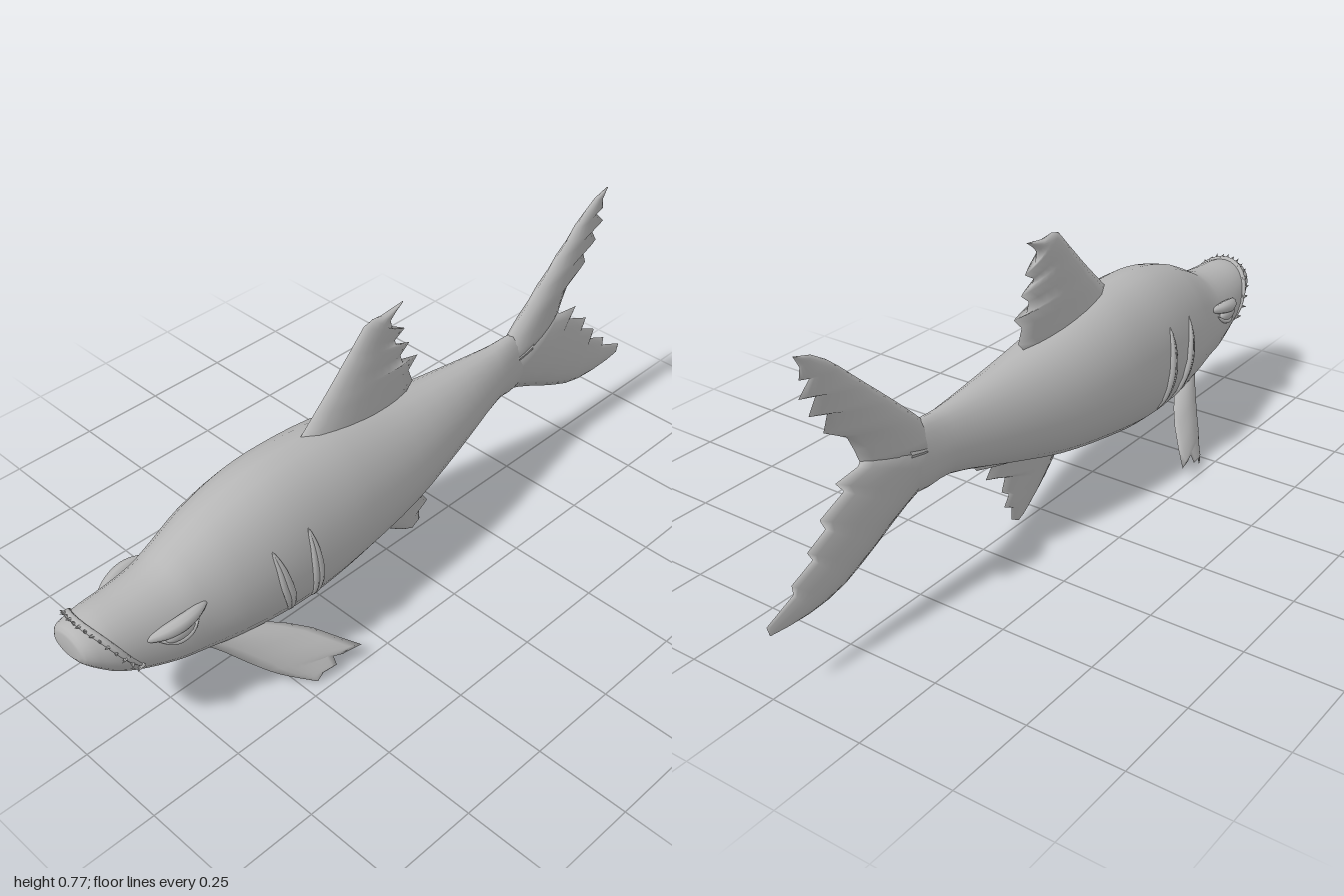
import * as THREE from 'three';

const V = (x, y, z) => new THREE.Vector3(x, y, z);
const skin = new THREE.MeshStandardMaterial({ color: 0xb6b6b6 });
skin.name = 'grey skin';

// Closed smooth surface through equal-length rings of points, faces turned outward
function loft(rings) {
  const n = rings[0].length, pos = [], idx = [];
  const mid = r => r.reduce((s, p) => s.add(p), V(0, 0, 0)).divideScalar(n);
  const cap = r => { const c = mid(r); return r.map(() => c); };
  const all = [cap(rings[0]), ...rings, cap(rings[rings.length - 1])];
  const flat = all.flat();
  flat.forEach(p => pos.push(p.x, p.y, p.z));
  for (let k = 0; k < all.length - 1; k++) {
    for (let j = 0; j < n; j++) {
      const a = k * n + j, b = k * n + (j + 1) % n;
      idx.push(a, b, a + n, b, b + n, a + n);
    }
  }
  let volume = 0;
  for (let i = 0; i < idx.length; i += 3) {
    volume += flat[idx[i]].dot(flat[idx[i + 1]].clone().cross(flat[idx[i + 2]]));
  }
  if (volume < 0) idx.reverse();
  const g = new THREE.BufferGeometry();
  g.setAttribute('position', new THREE.Float32BufferAttribute(pos, 3));
  g.setIndex(idx);
  g.computeVertexNormals();
  return g;
}

// Body stations from tail to snout: z, top, bottom, half width
const stations = [
  [-0.62, 0.43, 0.36, 0.012], [-0.5, 0.468, 0.287, 0.03], [-0.4, 0.466, 0.29, 0.05],
  [-0.2, 0.48, 0.23, 0.095], [0, 0.503, 0.17, 0.133], [0.2, 0.54, 0.13, 0.155],
  [0.35, 0.55, 0.11, 0.161], [0.47, 0.543, 0.113, 0.159], [0.6, 0.51, 0.13, 0.144],
  [0.7, 0.465, 0.15, 0.123], [0.76, 0.435, 0.168, 0.116], [0.85, 0.422, 0.205, 0.102],
  [0.92, 0.418, 0.247, 0.09], [0.965, 0.41, 0.29, 0.076], [0.99, 0.403, 0.318, 0.062],
  [1, 0.39, 0.335, 0.045],
];
function stationAt(z) {
  let i = 0;
  while (i < stations.length - 2 && stations[i + 1][0] < z) i++;
  const s = k => stations[Math.max(0, Math.min(stations.length - 1, k))];
  const t = (z - s(i)[0]) / (s(i + 1)[0] - s(i)[0]);
  // Hermite blend keeps the outline smooth between uneven stations
  return [1, 2, 3].map(c => {
    const slope = k => (s(k + 1)[c] - s(k - 1)[c]) / (s(k + 1)[0] - s(k - 1)[0]);
    const h = s(i + 1)[0] - s(i)[0], t2 = t * t, t3 = t2 * t;
    return (2 * t3 - 3 * t2 + 1) * s(i)[c] + (t3 - 2 * t2 + t) * h * slope(i)
      + (3 * t2 - 2 * t3) * s(i + 1)[c] + (t3 - t2) * h * slope(i + 1);
  });
}
// Point on the skin, angle measured from the top of the back toward +x
function bodyPoint(z, angle) {
  const [top, bottom, half] = stationAt(z);
  const yc = bottom + (top - bottom) * 0.44, c = Math.cos(angle);
  return V(half * Math.sin(angle), yc + c * (c > 0 ? top - yc : yc - bottom), z);
}
function bodyGeometry() {
  const rings = [];
  for (let i = 0; i < stations.length - 1; i++) {
    for (let k = 0; k < 3; k++) rings.push(stations[i][0] + (stations[i + 1][0] - stations[i][0]) * k / 3);
  }
  rings.push(1);
  return loft(rings.map(z => Array.from({ length: 24 }, (_, j) => bodyPoint(z, j / 24 * Math.PI * 2))));
}

// Lens-shaped fin stretched from a smooth leading edge to a ragged trailing edge
function finGeometry(lead, trail, thickness, normal = V(1, 0, 0)) {
  const curve = new THREE.CatmullRomCurve3(lead), P = 8, last = trail.length - 1;
  return loft(trail.map((end, i) => {
    const start = curve.getPointAt(i / last), ring = [];
    const half = thickness * Math.pow(1 - i / last, 0.7) + 0.002;
    for (let j = 0; j < P * 2; j++) {
      const s = j <= P ? j / P : 2 - j / P;
      const w = half * Math.pow(Math.sin(Math.PI * Math.pow(s, 0.75)), 0.8) || 0;
      ring.push(start.clone().lerp(end, s).addScaledVector(normal, j <= P ? w : -w));
    }
    return ring;
  }));
}
const flat = list => list.map(([z, y]) => V(0, y, z));

// Ridge that swells in the middle and tapers at both ends
function ridgeGeometry(points, radius, power = 0.6) {
  const curve = new THREE.CatmullRomCurve3(points), N = 20;
  const f = curve.computeFrenetFrames(N, false), rings = [];
  for (let i = 0; i <= N; i++) {
    const r = radius * Math.pow(Math.max(0.001, Math.sin(Math.PI * i / N)), power);
    rings.push(Array.from({ length: 8 }, (_, j) => curve.getPointAt(i / N)
      .addScaledVector(f.normals[i], r * Math.cos(j * Math.PI / 4))
      .addScaledVector(f.binormals[i], r * Math.sin(j * Math.PI / 4))));
  }
  return loft(rings);
}

export function createModel() {
  const model = new THREE.Group();
  model.name = 'fish';
  const add = (name, geometry) => {
    const m = new THREE.Mesh(geometry, skin);
    m.name = name;
    model.add(m);
    return m;
  };
  // Adds a +x part and its mirrored twin
  const addPair = (name, geometry) => {
    add('left' + name, geometry);
    const g = geometry.clone().scale(-1, 1, 1);
    g.setIndex(Array.from(g.index.array).reverse());
    g.computeVertexNormals();
    add('right' + name, g);
  };

  add('body', bodyGeometry());

  // Back, belly and tail fins, outlines given as [z, y]
  add('dorsalFin', finGeometry(
    flat([[0.32, 0.52], [0.29, 0.55], [0.2, 0.635], [0.12, 0.715], [0.06, 0.77], [0.03, 0.762], [-0.055, 0.77]]),
    flat([[-0.06, 0.47], [-0.07, 0.49], [-0.095, 0.515], [-0.08, 0.555], [-0.112, 0.587], [-0.06, 0.585],
      [-0.05, 0.615], [-0.082, 0.64], [-0.035, 0.655], [-0.03, 0.67], [-0.065, 0.69], [-0.022, 0.705],
      [-0.015, 0.735], [-0.035, 0.755], [-0.058, 0.771]]), 0.032));
  add('analFin', finGeometry(
    flat([[0.12, 0.18], [0.08, 0.15], [0.01, 0.085], [-0.07, 0.028], [-0.1, 0.015]]),
    flat([[-0.3, 0.27], [-0.27, 0.238], [-0.205, 0.23], [-0.235, 0.195], [-0.19, 0.18], [-0.155, 0.17],
      [-0.17, 0.13], [-0.14, 0.11], [-0.16, 0.08], [-0.128, 0.065], [-0.13, 0.03], [-0.1, 0.014]]), 0.022));
  add('upperTailLobe', finGeometry(
    flat([[-0.4, 0.38], [-0.46, 0.455], [-0.55, 0.54], [-0.66, 0.637], [-0.765, 0.728], [-0.81, 0.756], [-0.86, 0.77]]),
    flat([[-0.68, 0.43], [-0.685, 0.45], [-0.7, 0.485], [-0.72, 0.525], [-0.79, 0.565], [-0.775, 0.605], [-0.83, 0.62],
      [-0.805, 0.66], [-0.855, 0.67], [-0.82, 0.705], [-0.85, 0.712], [-0.845, 0.74], [-0.862, 0.771]]), 0.03));
  add('lowerTailLobe', finGeometry(
    flat([[-0.4, 0.38], [-0.46, 0.3], [-0.55, 0.262], [-0.66, 0.208], [-0.765, 0.165], [-0.87, 0.152], [-0.99, 0.163]]),
    flat([[-0.68, 0.46], [-0.69, 0.44], [-0.765, 0.43], [-0.74, 0.4], [-0.82, 0.365], [-0.805, 0.335], [-0.865, 0.305],
      [-0.85, 0.28], [-0.918, 0.25], [-0.915, 0.225], [-1, 0.188], [-0.992, 0.163]]), 0.03));

  // Side fins with notched tips
  addPair('PectoralFin', finGeometry(
    [V(0.06, 0.18, 0.69), V(0.08, 0.16, 0.66), V(0.125, 0.1, 0.6), V(0.165, 0.05, 0.545), V(0.218, 0.002, 0.465)],
    [V(0.07, 0.185, 0.58), V(0.09, 0.168, 0.53), V(0.125, 0.142, 0.47), V(0.16, 0.115, 0.42), V(0.2, 0.08, 0.375),
      V(0.24, 0.05, 0.333), V(0.226, 0.044, 0.385), V(0.218, 0.055, 0.41), V(0.232, 0.03, 0.41),
      V(0.225, 0.026, 0.45), V(0.219, 0.001, 0.463)],
    0.02, V(0.74, 0.67, 0)));

  // Gill slits: a pair of close ridges with a swollen centre
  [[0.515, 0.46], [0.405, 0.385]].forEach(([zTop, zBottom], n) => {
    const path = offset => [0.34, 0.42, 0.5, 0.57, 0.645, 0.73].map((a, i) => {
      const t = i / 5;
      return bodyPoint(zTop + (zBottom - zTop) * t + offset * Math.sin(Math.PI * t), a * Math.PI);
    });
    const label = n === 0 ? 'FrontGill' : 'RearGill';
    addPair(label + 'Edge', ridgeGeometry(path(0.007), 0.009));
    addPair(label + 'Lip', ridgeGeometry(path(-0.007), 0.011));
  });

  // Eyes under heavy slanting brows
  const eye = new THREE.SphereGeometry(1, 16, 10);
  eye.scale(0.016, 0.02, 0.042).translate(0.112, 0.325, 0.775);
  addPair('Eye', eye);
  addPair('Brow', ridgeGeometry(
    [V(0.088, 0.335, 0.86), V(0.11, 0.345, 0.8), V(0.117, 0.354, 0.75), V(0.108, 0.36, 0.69)], 0.019));
  addPair('LowerLid', ridgeGeometry(
    [V(0.102, 0.33, 0.835), V(0.117, 0.306, 0.79), V(0.121, 0.312, 0.75), V(0.114, 0.335, 0.72)], 0.007));

  // Arched lip around the blunt underbite jaw, studded with teeth
  const archPoint = t => {
    const a = Math.abs(t);
    return bodyPoint(0.965 - 0.1 * a * a, t * 0.64 * Math.PI);
  };
  add('upperLip', ridgeGeometry(Array.from({ length: 17 }, (_, i) => archPoint(-1 + i / 8)), 0.009, 0.4));
  const tooth = new THREE.ConeGeometry(0.008, 0.024, 6);
  for (let i = 0; i < 19; i++) {
    const t = -0.95 + 1.9 * i / 18, p = archPoint(t);
    const m = add('tooth', tooth);
    const out = V(p.x, p.y - 0.32, 0).normalize();
    m.position.copy(p).addScaledVector(out, 0.004);
    m.position.z += 0.008;
    const lean = out.clone().multiplyScalar(i % 2 ? 0.9 : 0.3).add(V(0, 0, 0.7)).normalize();
    m.quaternion.setFromUnitVectors(V(0, 1, 0), lean);
  }
  return model;
}
